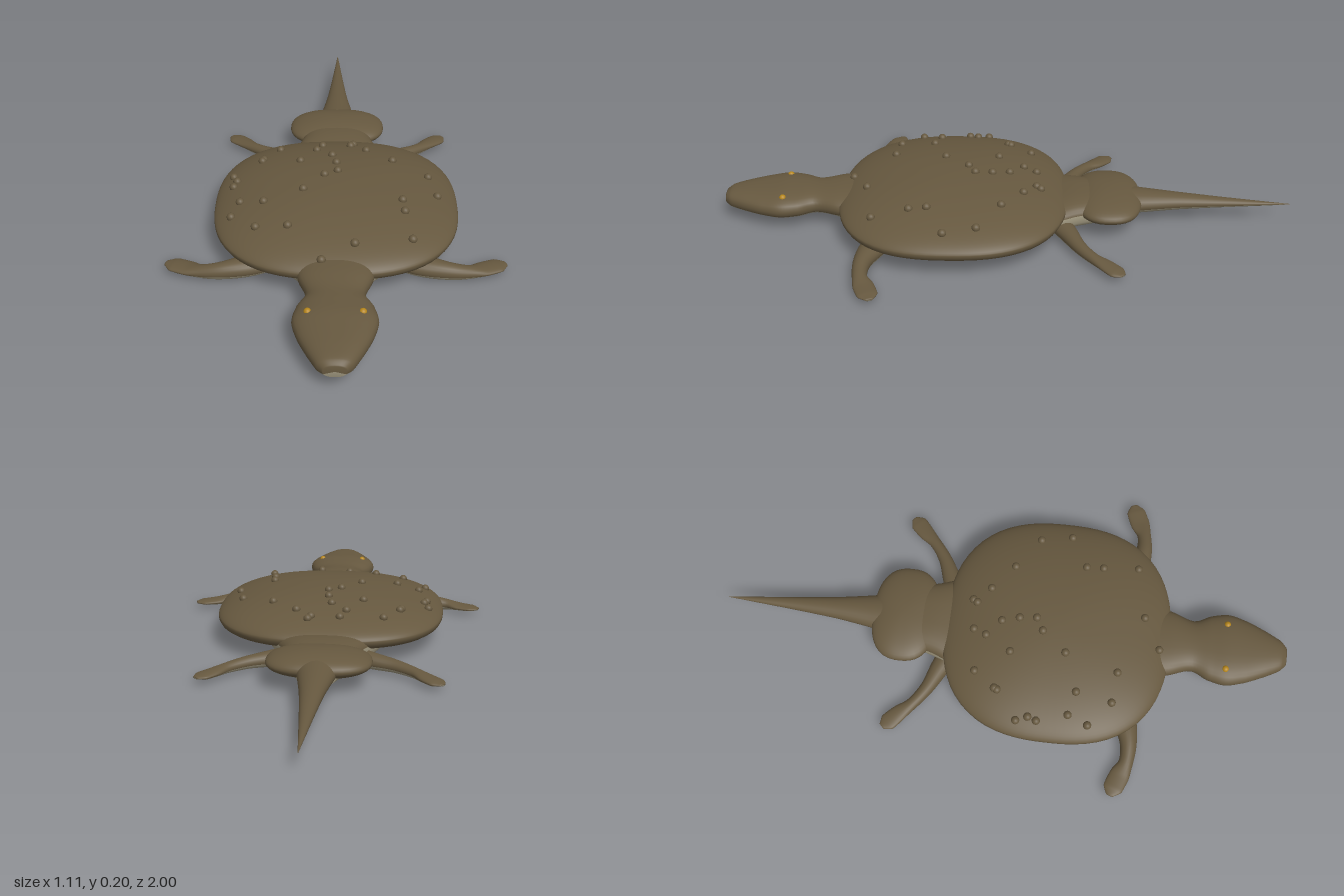
import * as THREE from 'three';
import { mergeVertices } from 'three/addons/utils/BufferGeometryUtils.js';

const mat = (name, color) => {
  const m = new THREE.MeshStandardMaterial({ color });
  m.name = name;
  return m;
};

// Shell outline: a rounded rectangle-like oval
const SHELL = { x: 0.41, z: 0.4, cz: 0.19, n: 2.5 };
const oval = (x, z) =>
  Math.pow(Math.pow(Math.abs(x), SHELL.n) + Math.pow(Math.abs(z), SHELL.n), 1 / SHELL.n);
const domeY = (r) => 0.1 + 0.088 * Math.pow(Math.max(0, 1 - r * r), 0.62);

// Rounds a lathe or sphere footprint into the oval
function squareOff(geo) {
  const p = geo.attributes.position;
  for (let i = 0; i < p.count; i++) {
    const x = p.getX(i), z = p.getZ(i), o = oval(x, z);
    if (o > 1e-6) {
      const k = Math.hypot(x, z) / o;
      p.setX(i, x * k);
      p.setZ(i, z * k);
    }
  }
  geo.deleteAttribute('uv');
  geo.deleteAttribute('normal');
  const out = mergeVertices(geo, 1e-5);
  out.computeVertexNormals();
  return out;
}

// Smooth oval tube through stations [x, y, z, halfWidth, halfHeight];
// faces below the level `split` take the second material
function loft(stations, split, steps = 40, sides = 28, power = 1) {
  const path = new THREE.CatmullRomCurve3(stations.map((s) => new THREE.Vector3(s[0], s[1], s[2])));
  const size = new THREE.CatmullRomCurve3(stations.map((s) => new THREE.Vector3(s[3], s[4], 0)));
  const up = new THREE.Vector3(0, 1, 0);
  const pos = [], upper = [], lower = [];
  const bend = (v) => Math.sign(v) * Math.pow(Math.abs(v), power);
  for (let i = 0; i <= steps; i++) {
    const c = path.getPoint(i / steps), s = size.getPoint(i / steps);
    const t = path.getTangent(i / steps).setY(0).normalize();
    const side = up.clone().cross(t);
    for (let j = 0; j < sides; j++) {
      const a = (j / sides) * Math.PI * 2;
      const w = bend(Math.cos(a)) * s.x, h = bend(Math.sin(a)) * s.y;
      pos.push(c.x + side.x * w, c.y + h, c.z + side.z * w);
    }
  }
  const first = pos.length / 3;
  for (const e of [stations[0], stations[stations.length - 1]]) pos.push(e[0], e[1], e[2]);
  for (let j = 0; j < sides; j++) {
    const k = (j + 1) % sides;
    const list = Math.sin(((j + 0.5) / sides) * Math.PI * 2) < split ? lower : upper;
    for (let i = 0; i < steps; i++) {
      const a = i * sides + j, b = i * sides + k;
      list.push(a, b, b + sides, a, b + sides, a + sides);
    }
    list.push(first, k, j, first + 1, steps * sides + j, steps * sides + k);
  }
  const geo = new THREE.BufferGeometry();
  geo.setAttribute('position', new THREE.Float32BufferAttribute(pos, 3));
  geo.setIndex([...upper, ...lower]);
  geo.addGroup(0, upper.length, 0);
  geo.addGroup(upper.length, lower.length, 1);
  geo.computeVertexNormals();
  return geo;
}

export function createModel() {
  const model = new THREE.Group();
  model.name = 'turtle';
  const brown = mat('brown skin', 0x66583f);
  const pale = mat('pale belly', 0x9c947c);
  const amber = mat('amber eye', 0xb5861c);
  const add = (name, geo, material, parent = model) => {
    const mesh = new THREE.Mesh(geo, material);
    mesh.name = name;
    parent.add(mesh);
    return mesh;
  };
  const skin = [brown, pale];

  // Domed shell with a rounded rim and flat underside
  const profile = [[0, 0.066], [0.5, 0.066], [0.88, 0.066], [0.95, 0.07], [0.985, 0.08], [1, 0.092]]
    .map(([r, y]) => new THREE.Vector2(r, y));
  for (let i = 0; i <= 20; i++) {
    const r = Math.cos((i / 20) * Math.PI / 2);
    profile.push(new THREE.Vector2(i === 20 ? 0 : r, domeY(r)));
  }
  const shell = add('shell', squareOff(new THREE.LatheGeometry(profile, 72)), brown);
  shell.scale.set(SHELL.x, 1, SHELL.z);
  shell.position.z = SHELL.cz;

  // Small bumps scattered over the shell
  const spots = [
    [-0.2, -0.08], [-0.05, -0.1], [0.05, -0.1], [0.06, -0.115], [-0.07, -0.055], [0.105, -0.055],
    [-0.26, 0.005], [-0.255, -0.005], [-0.015, -0.005], [0.195, 0.02], [-0.125, 0.035], [0, 0.055],
    [-0.355, 0.08], [-0.34, 0.12], [-0.35, 0.15], [0.005, 0.115], [-0.04, 0.14], [0.315, 0.1],
    [-0.11, 0.225], [0.34, 0.21], [-0.32, 0.255], [-0.24, 0.275], [0.22, 0.27], [-0.345, 0.325],
    [0.225, 0.33], [-0.26, 0.4], [-0.155, 0.41], [0.245, 0.455], [0.06, 0.49], [-0.045, 0.55],
  ];
  const bumps = new THREE.Group();
  bumps.name = 'shellBumps';
  model.add(bumps);
  const bumpGeo = new THREE.SphereGeometry(0.0145, 14, 10);
  for (const [x, z] of spots) {
    const r = oval(x / SHELL.x, (z - SHELL.cz) / SHELL.z);
    add('bump', bumpGeo, brown, bumps).position.set(x, domeY(r) + 0.002, z);
  }

  // Flat trunk under the shell, pale beneath
  add('trunk', loft([
    [0, 0.075, -0.46, 0.06, 0.035], [0, 0.075, -0.34, 0.11, 0.045], [0, 0.072, -0.24, 0.135, 0.053],
    [0, 0.062, -0.13, 0.18, 0.05], [0, 0.056, 0.02, 0.225, 0.048], [0, 0.055, 0.2, 0.245, 0.049],
    [0, 0.056, 0.36, 0.25, 0.046], [0, 0.062, 0.47, 0.2, 0.045], [0, 0.08, 0.57, 0.12, 0.045],
    [0, 0.085, 0.64, 0.09, 0.04],
  ], 0.15, 50, 36, 0.75), skin);

  // Neck and wedge-shaped head
  add('head', loft([
    [0, 0.086, 0.5, 0.135, 0.045], [0, 0.087, 0.59, 0.118, 0.045], [0, 0.085, 0.67, 0.092, 0.042],
    [0, 0.084, 0.73, 0.118, 0.045], [0, 0.084, 0.79, 0.13, 0.047], [0, 0.083, 0.86, 0.113, 0.043],
    [0, 0.082, 0.93, 0.082, 0.038], [0, 0.081, 0.98, 0.055, 0.031], [0, 0.08, 1, 0.034, 0.02],
  ], -0.4, 48, 32, 0.85), skin);

  // Rounded rump
  const rump = add('rump', squareOff(new THREE.SphereGeometry(1, 40, 24)), brown);
  rump.scale.set(0.175, 0.043, 0.118);
  rump.position.set(0, 0.088, -0.352);

  // Long tapering tail
  add('tail', loft([
    [0, 0.08, -0.4, 0.075, 0.042], [0, 0.078, -0.48, 0.059, 0.037], [0, 0.076, -0.6, 0.04, 0.028],
    [0, 0.072, -0.74, 0.025, 0.018], [0, 0.068, -0.88, 0.012, 0.009], [0, 0.065, -1, 0.001, 0.001],
  ], -0.25, 36, 24), skin);

  // Limbs and eyes, mirrored left and right
  const frontLeg = [
    [0.17, 0.045, 0.4, 0.05, 0.033], [0.27, 0.04, 0.45, 0.046, 0.033], [0.36, 0.036, 0.477, 0.03, 0.029],
    [0.43, 0.03, 0.475, 0.025, 0.021], [0.48, 0.028, 0.456, 0.035, 0.012],
    [0.525, 0.028, 0.438, 0.034, 0.009], [0.553, 0.028, 0.428, 0.012, 0.004],
  ];
  const hindLeg = [
    [0.09, 0.045, -0.17, 0.045, 0.032], [0.17, 0.04, -0.21, 0.034, 0.028], [0.25, 0.036, -0.247, 0.024, 0.022],
    [0.31, 0.032, -0.29, 0.021, 0.018], [0.35, 0.03, -0.332, 0.029, 0.013],
    [0.383, 0.028, -0.363, 0.031, 0.01], [0.403, 0.028, -0.384, 0.012, 0.004],
  ];
  const eyeGeo = new THREE.SphereGeometry(0.012, 16, 12);
  for (const [side, s] of [['left', 1], ['right', -1]]) {
    const flip = (list) => list.map(([x, ...rest]) => [x * s, ...rest]);
    add(side + 'FrontLeg', loft(flip(frontLeg), -0.15, 36, 22), skin);
    add(side + 'HindLeg', loft(flip(hindLeg), -0.15, 36, 22), skin);
    add(side + 'Eye', eyeGeo, amber).position.set(0.082 * s, 0.119, 0.785);
  }
  return model;
}
